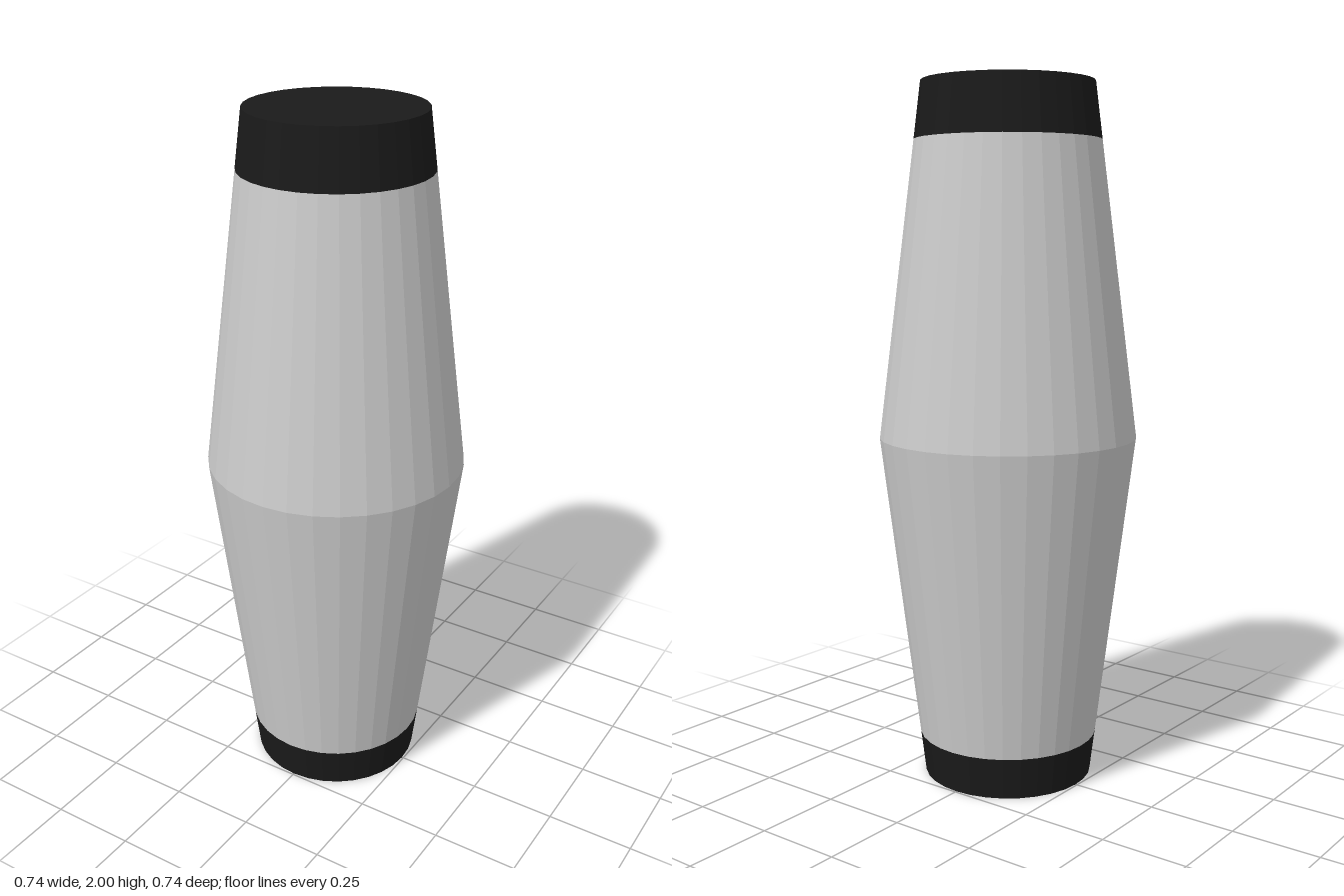
import * as THREE from 'three';

const SIDES = 32;
const END_RADIUS = 0.245;
const MID_RADIUS = 0.37;

// Radius of the double taper at height y, widest halfway up
const radiusAt = (y) => MID_RADIUS - (MID_RADIUS - END_RADIUS) * Math.abs(y - 1);

// One tapered, faceted section between two heights
function section(name, y0, y1, material, open) {
  const geometry = new THREE.CylinderGeometry(radiusAt(y1), radiusAt(y0), y1 - y0, SIDES, 1, open);
  const mesh = new THREE.Mesh(geometry, material);
  mesh.position.y = (y0 + y1) / 2;
  mesh.name = name;
  return mesh;
}

export function createModel() {
  const grey = new THREE.MeshStandardMaterial({ color: 0xcccccc, flatShading: true });
  const black = new THREE.MeshStandardMaterial({ color: 0x1a1a1a, flatShading: true });

  const model = new THREE.Group();
  model.name = 'taperedBarrel';
  model.add(
    section('bottomCap', 0, 0.12, black, false),
    section('lowerBody', 0.12, 1, grey, true),
    section('upperBody', 1, 1.84, grey, true),
    section('topCap', 1.84, 2, black, false),
  );
  return model;
}
